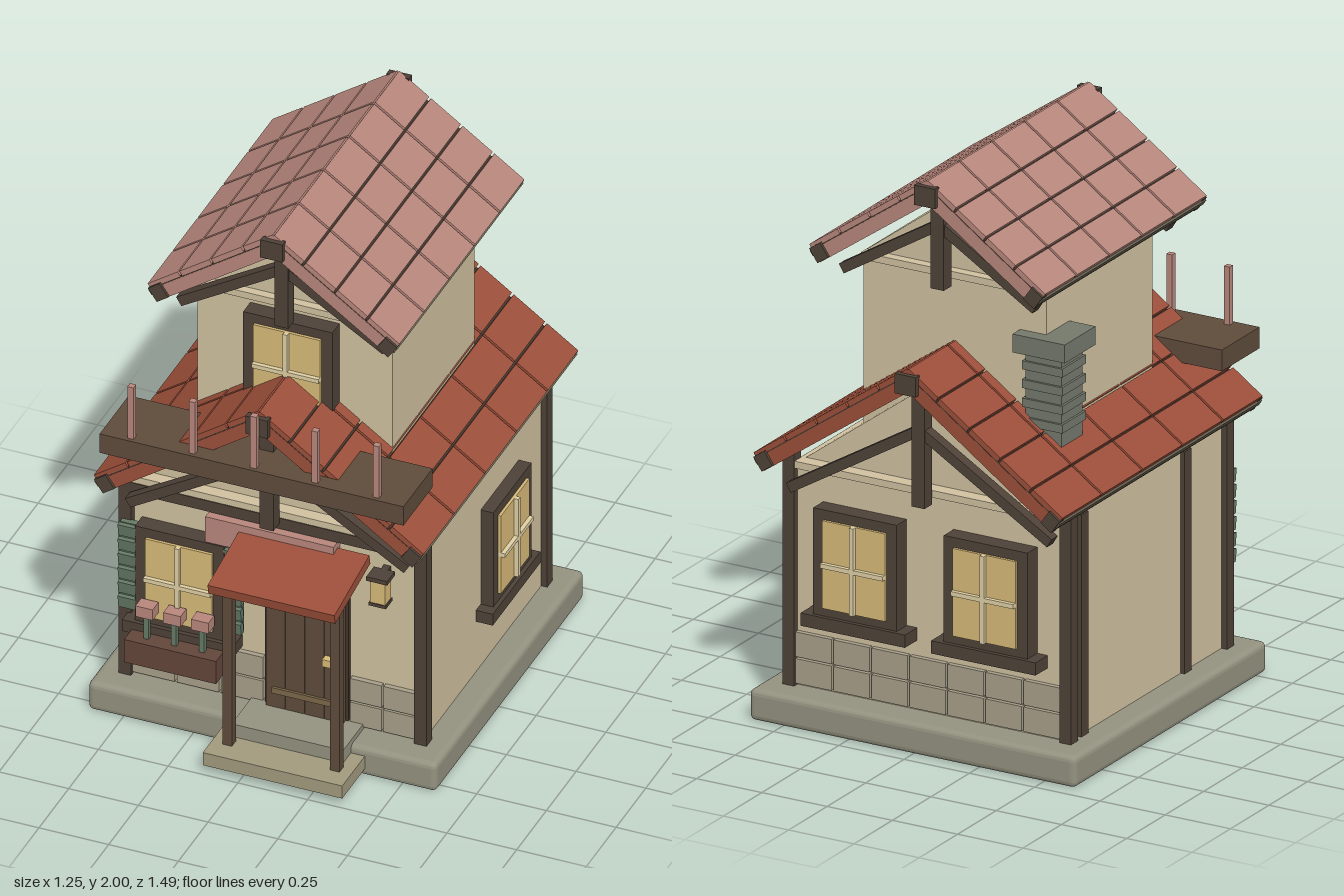
import * as THREE from 'three';
import { RoundedBoxGeometry } from 'three/addons/geometries/RoundedBoxGeometry.js';

const C = {
  stone: 0x949280, block: 0xa8a08a, wall: 0xd0c1a0, timber: 0x4e4238, wood: 0x5f4c3c,
  red: 0x9c4f3a, pink: 0xb8877c, glass: 0xd8ba78, muntin: 0xe0d0a4, green: 0x657a66,
  chimney: 0x74796c, trim: 0x66604f, seam: 0x43352c, planter: 0x63463a, step: 0xa39a7e,
};
const mats = {};
const mat = (c) => (mats[c] ??= new THREE.MeshStandardMaterial({ color: c, flatShading: true }));

// Box given by its centre and size
function box(parent, name, color, [x, y, z], [w, h, d], rz = 0) {
  const m = new THREE.Mesh(new THREE.BoxGeometry(w, h, d), mat(color));
  m.name = name;
  m.position.set(x, y, z);
  m.rotation.z = rz;
  parent.add(m);
  return m;
}
// Box given by its limits on each axis
function span(parent, name, color, x0, x1, y0, y1, z0, z1) {
  return box(parent, name, color, [(x0 + x1) / 2, (y0 + y1) / 2, (z0 + z1) / 2], [x1 - x0, y1 - y0, z1 - z0]);
}
function group(parent, name, x = 0, y = 0, z = 0, ry = 0) {
  const g = new THREE.Group();
  g.name = name;
  g.position.set(x, y, z);
  g.rotation.y = ry;
  parent.add(g);
  return g;
}

// Window facing local +z, with its back on the wall plane
function addWindow(parent, name, x, y, z, ry) {
  const g = group(parent, name, x, y, z, ry);
  for (const s of [-1, 1]) {
    box(g, 'frameSide', C.timber, [s * 0.14, 0, 0.025], [0.04, 0.38, 0.07]);
    box(g, 'frameRail', C.timber, [0, s * 0.172, 0.025], [0.32, 0.036, 0.07]);
  }
  box(g, 'glass', C.glass, [0, 0, 0.035], [0.24, 0.31, 0.07]);
  box(g, 'muntinUpright', C.muntin, [0, 0, 0.045], [0.016, 0.31, 0.08]);
  box(g, 'muntinBar', C.muntin, [0, 0, 0.045], [0.24, 0.016, 0.08]);
  box(g, 'sill', C.timber, [0, -0.208, 0.03], [0.4, 0.045, 0.09]);
  return g;
}

// Gable roof of two tiled slopes
const SLOPE = THREE.MathUtils.degToRad(35);
function addRoof(parent, name, color, ridgeY, halfW, z0, z1, rows) {
  const g = group(parent, name);
  const L = halfW / Math.cos(SLOPE), zc = (z0 + z1) / 2, D = z1 - z0, cols = 5;
  for (const s of [-1, 1]) {
    const side = group(g, 'roofSlope', 0, ridgeY, 0);
    side.rotation.z = -s * SLOPE;
    box(side, 'roofDeck', color, [s * L / 2, -0.046, zc], [L - 0.01, 0.048, D - 0.01]);
    box(side, 'underlay', C.seam, [s * L / 2, -0.02, zc], [L - 0.012, 0.008, D - 0.012]);
    const tl = L / rows, tw = D / cols;
    for (let r = 0; r < rows; r++)
      for (let c = 0; c < cols; c++)
        box(side, 'tile', color, [s * (r + 0.5) * tl, -0.009, z0 + (c + 0.5) * tw], [tl - 0.008, 0.018, tw - 0.01]);
    box(side, 'eaveTrim', C.trim, [s * (L - 0.012), -0.03, zc], [0.03, 0.022, D + 0.002]);
    for (const z of [z0 + 0.01, z1 - 0.01])
      box(side, 'eaveCap', C.timber, [s * (L - 0.027), -0.04, z], [0.05, 0.056, 0.03]);
  }
  // Ridge beam ends
  for (const z of [z0, z1]) box(g, 'ridgeEnd', C.timber, [0, ridgeY - 0.055, z], [0.08, 0.07, 0.026]);
  return g;
}

// Solid attic prism
function addGable(parent, name, halfW, y0, y1, z0, z1) {
  const shape = new THREE.Shape([
    new THREE.Vector2(-halfW, y0), new THREE.Vector2(halfW, y0), new THREE.Vector2(0, y1)]);
  const m = new THREE.Mesh(new THREE.ExtrudeGeometry(shape, { depth: z1 - z0, bevelEnabled: false }), mat(C.wall));
  m.name = name;
  m.position.z = z0;
  parent.add(m);
}

// King post with two sloping braces under a gable
function addTruss(parent, z, postY0, postY1, halfW, footY, topY) {
  const g = group(parent, 'gableTruss', 0, 0, z);
  span(g, 'kingPost', C.timber, -0.025, 0.025, postY0, postY1, -0.025, 0.025);
  const len = Math.hypot(halfW, topY - footY), a = Math.atan2(topY - footY, halfW);
  for (const s of [-1, 1])
    box(g, 'brace', C.timber, [s * halfW / 2, (footY + topY) / 2, 0], [len, 0.036, 0.04], -s * a);
}

// Two courses of stone blocks between x0 and x1
function addStones(parent, x0, x1, z, n) {
  const g = group(parent, 'stoneCourses');
  const w = (x1 - x0) / n;
  for (let r = 0; r < 2; r++)
    for (let i = 0; i < n; i++)
      span(g, 'stoneBlock', C.block, x0 + i * w + 0.004, x0 + (i + 1) * w - 0.004,
        0.12 + r * 0.094, 0.207 + r * 0.094, z - 0.018, z + 0.018);
}

export function createModel() {
  const house = new THREE.Group();
  house.name = 'house';

  // Plinth and steps
  const plinth = new THREE.Mesh(new RoundedBoxGeometry(1.25, 0.11, 1.25, 2, 0.02), mat(C.stone));
  plinth.name = 'plinth';
  plinth.position.set(0, 0.055, -0.075);
  house.add(plinth);
  span(house, 'lowerStep', C.step, -0.13, 0.37, 0.03, 0.08, 0.45, 0.74);
  span(house, 'upperStep', C.stone, -0.08, 0.32, 0.08, 0.13, 0.4, 0.615);

  // Ground floor
  span(house, 'lowerWalls', C.wall, -0.53, 0.53, 0.1, 0.89, -0.58, 0.43);
  span(house, 'wallPlate', C.wall, -0.51, 0.51, 0.88, 0.905, -0.6, 0.455);
  for (const x of [-0.53, 0.53])
    for (const z of [-0.58, 0.435])
      box(house, 'cornerPost', C.timber, [x, 0.52, z], [0.044, 0.82, 0.046]);
  for (const z of [-0.5, 0.17]) box(house, 'sidePost', C.timber, [-0.53, 0.5, z], [0.03, 0.79, 0.045]);
  span(house, 'frontBeam', C.timber, -0.51, 0.51, 0.838, 0.88, 0.42, 0.458);
  addStones(house, -0.51, -0.035, 0.43, 3);
  addStones(house, 0.27, 0.51, 0.43, 2);
  addStones(house, -0.51, 0.51, -0.58, 7);
  addGable(house, 'lowerGable', 0.5, 0.9, 1.27, -0.55, 0.41);
  for (const z of [0.485, -0.635]) addTruss(house, z, 0.86, 1.3, 0.5, 0.83, 1.13);
  addRoof(house, 'lowerRoof', C.red, 1.375, 0.595, -0.73, 0.58, 5);

  // Upper floor
  span(house, 'upperWalls', C.wall, -0.35, 0.35, 0.95, 1.61, -0.42, 0.27);
  span(house, 'upperPlate', C.wall, -0.345, 0.345, 1.6, 1.625, -0.445, 0.29);
  addGable(house, 'upperGable', 0.35, 1.62, 1.88, -0.41, 0.26);
  for (const z of [0.36, -0.51]) addTruss(house, z, 1.59, 1.91, 0.37, 1.59, 1.815);
  addRoof(house, 'upperRoof', C.pink, 2.0, 0.455, -0.605, 0.455, 4);

  // Windows
  addWindow(house, 'frontWindow', -0.32, 0.545, 0.43, 0);
  addWindow(house, 'upperWindow', 0, 1.385, 0.27, 0);
  addWindow(house, 'sideWindow', 0.515, 0.54, -0.21, Math.PI / 2);
  for (const x of [-0.25, 0.25]) addWindow(house, 'backWindow', x, 0.585, -0.585, Math.PI);

  // Shutters with slats
  for (const x of [-0.51, -0.133]) {
    const g = group(house, 'shutter', x, 0, 0.465);
    box(g, 'shutterBoard', C.green, [0, 0.56, 0], [0.058, 0.34, 0.024]);
    for (let i = 0; i < 6; i++)
      box(g, 'slat', C.green, [0, 0.418 + i * 0.057, 0.012], [0.064, 0.046, 0.022]).rotation.x = 0.15;
  }

  // Flower box
  span(house, 'planter', C.planter, -0.485, -0.155, 0.24, 0.33, 0.46, 0.57);
  for (const x of [-0.42, -0.32, -0.22]) {
    box(house, 'stem', C.green, [x, 0.375, 0.53], [0.018, 0.1, 0.018]);
    box(house, 'flower', C.pink, [x, 0.443, 0.53], [0.062, 0.042, 0.05]);
  }

  // Door
  const door = group(house, 'door');
  span(door, 'doorFrame', C.seam, -0.03, 0.268, 0.12, 0.665, 0.42, 0.45);
  for (let i = 0; i < 4; i++)
    span(door, 'doorPlank', C.wood, -0.02 + i * 0.07, 0.0485 + i * 0.07, 0.13, 0.652, 0.43, 0.468);
  for (const y of [0.2, 0.543]) box(door, 'hingeStrap', 0x7a6849, [0.117, y, 0.47], [0.225, 0.022, 0.014]);
  box(door, 'doorKnob', C.glass, [0.207, 0.37, 0.48], [0.028, 0.028, 0.03]);

  // Porch canopy on two posts
  for (const x of [-0.073, 0.313]) box(house, 'porchPost', C.wood, [x, 0.41, 0.652], [0.034, 0.66, 0.034]);
  box(house, 'porchCanopy', C.red, [0.117, 0.766, 0.595], [0.455, 0.038, 0.3]).rotation.x = 0.19;
  span(house, 'wallBoard', C.pink, -0.23, 0.23, 0.735, 0.835, 0.43, 0.485);

  // Wall lantern
  const lamp = group(house, 'lantern', 0.4, 0, 0.488);
  box(lamp, 'lanternBracket', C.timber, [0, 0.765, -0.03], [0.025, 0.02, 0.06]);
  box(lamp, 'lanternCap', C.timber, [0, 0.768, 0], [0.075, 0.016, 0.065]);
  box(lamp, 'lanternGlass', C.glass, [0, 0.715, 0], [0.054, 0.09, 0.05]);
  box(lamp, 'lanternBase', C.timber, [0, 0.667, 0], [0.062, 0.012, 0.056]);

  // Balcony with railing posts
  span(house, 'balcony', C.wood, -0.545, 0.545, 1.1, 1.175, 0.39, 0.635);
  for (let i = -2; i <= 2; i++)
    box(house, 'railPost', C.pink, [i * 0.22, 1.275, 0.61], [0.022, 0.21, 0.022]);

  // Chimney with stone bands
  const chimney = group(house, 'chimney', -0.35, 0, -0.37);
  box(chimney, 'shaft', C.chimney, [0, 1.16, 0], [0.138, 0.47, 0.138]);
  for (let i = 0; i < 4; i++) box(chimney, 'band', C.chimney, [0, 1.15 + i * 0.066, 0], [0.155, 0.03, 0.155]);
  box(chimney, 'cap', C.chimney, [0, 1.428, 0], [0.2, 0.065, 0.2]);

  return house;
}
